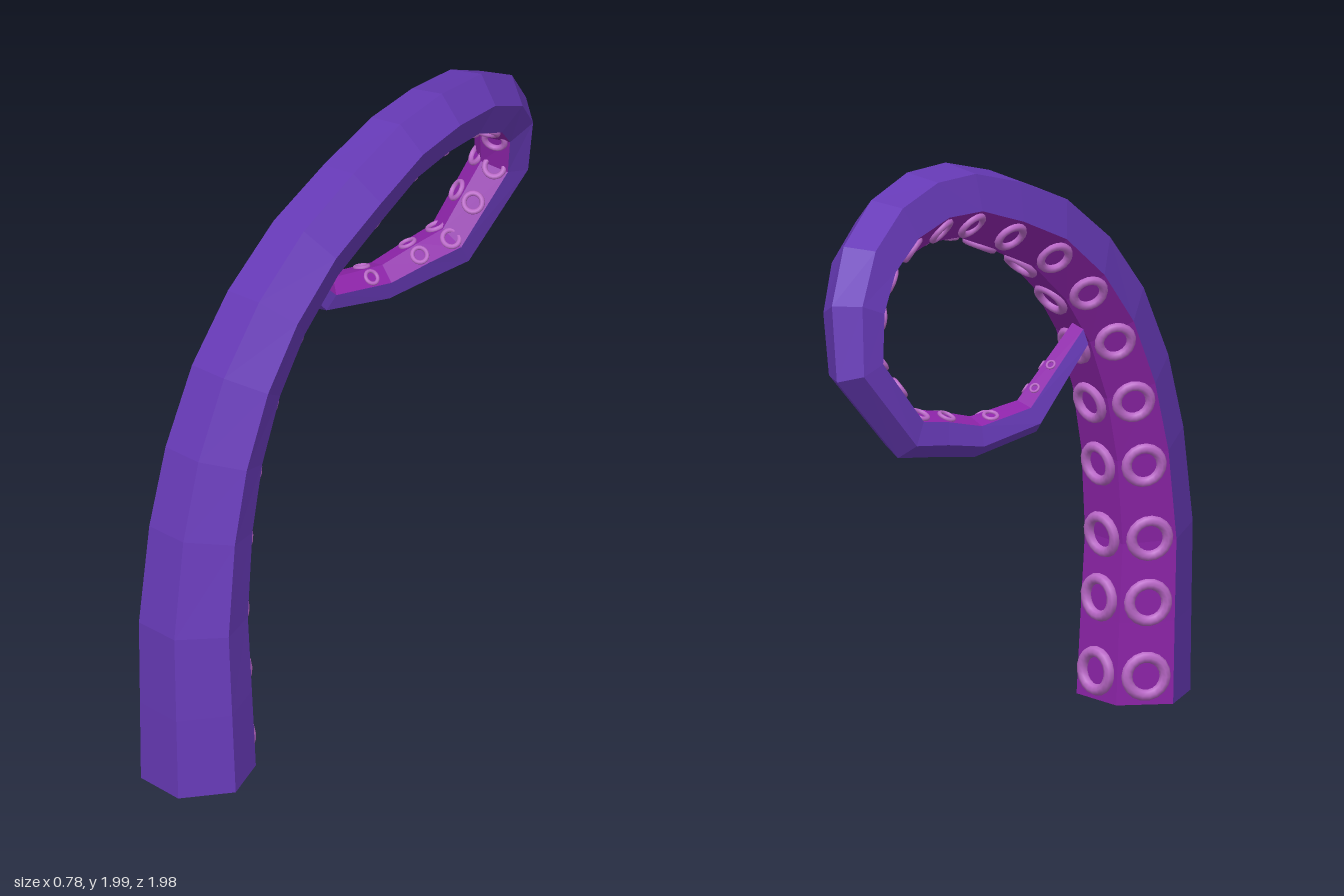
import * as THREE from 'three';

// Spine of the arm: x, y, z, radius
const SPINE = [
  [0.2, 0.02, 0.825, 0.19], [0.188, 0.3, 0.825, 0.185], [0.17, 0.58, 0.82, 0.18],
  [0.145, 0.89, 0.765, 0.172], [0.125, 1.13, 0.69, 0.165], [0.105, 1.36, 0.575, 0.158],
  [0.08, 1.545, 0.42, 0.15], [0.055, 1.7, 0.225, 0.142], [0.025, 1.8, 0, 0.135],
  [-0.01, 1.875, -0.22, 0.125], [-0.045, 1.888, -0.41, 0.12], [-0.1, 1.855, -0.61, 0.115],
  [-0.155, 1.765, -0.775, 0.11], [-0.215, 1.64, -0.88, 0.103], [-0.245, 1.46, -0.9, 0.095],
  [-0.265, 1.215, -0.695, 0.085], [-0.28, 1.195, -0.565, 0.075], [-0.3, 1.165, -0.42, 0.067],
  [-0.322, 1.2, -0.19, 0.063], [-0.345, 1.43, 0.02, 0.052],
];
const SIDES = 6;
// Sucker pair positions, counted in spine segments
const SUCKERS = [0.35, 1.25, 2.05, 2.9, 3.85, 4.85, 5.9, 6.9, 8, 9, 10, 11, 12, 13, 14, 14.5, 15.05, 16.1, 17.3, 18.2, 18.5];

// Hexagonal cross-sections, carried along the spine without twisting
function makeRings() {
  const points = SPINE.map(([x, y, z]) => new THREE.Vector3(x, y, z));
  const last = points.length - 1;
  const inner = new THREE.Vector3(-0.09, 0, -0.17);
  return points.map((p, i) => {
    const before = points[Math.max(i - 1, 0)], after = points[Math.min(i + 1, last)];
    const t = after.clone().sub(p).normalize().add(p.clone().sub(before).normalize()).normalize();
    if (i === last) t.set(-0.05, 0.2, 1).normalize();
    inner.addScaledVector(t, -inner.dot(t)).normalize();
    const side = new THREE.Vector3().crossVectors(t, inner);
    return Array.from({ length: SIDES }, (_, k) => {
      const a = (k * 2 * Math.PI) / SIDES, r = SPINE[i][3];
      return p.clone().addScaledVector(inner, r * Math.cos(a)).addScaledVector(side, r * Math.sin(a));
    });
  });
}

function facetMesh(name, corners, material) {
  const geometry = new THREE.BufferGeometry().setFromPoints(corners);
  geometry.computeVertexNormals();
  const mesh = new THREE.Mesh(geometry, material);
  mesh.name = name;
  return mesh;
}

export function createModel() {
  const group = new THREE.Group();
  group.name = 'tentacle';
  const skin = new THREE.MeshStandardMaterial({ color: 0x673ab7, flatShading: true });
  const belly = new THREE.MeshStandardMaterial({ color: 0x8e24aa, flatShading: true });
  const suckerMaterial = new THREE.MeshStandardMaterial({ color: 0xba68c8 });
  const rings = makeRings();

  // Outer skin on four sides, underside on the two inner sides
  const outer = [], under = [];
  for (let i = 0; i < rings.length - 1; i++) {
    for (let k = 0; k < SIDES; k++) {
      const n = (k + 1) % SIDES;
      const a = rings[i][k], b = rings[i][n], c = rings[i + 1][n], d = rings[i + 1][k];
      (k === 0 || k === SIDES - 1 ? under : outer).push(a, b, c, a, c, d);
    }
  }
  // End caps
  const base = rings[0], tip = rings[rings.length - 1];
  for (let k = 1; k < SIDES - 1; k++) {
    outer.push(base[0], base[k + 1], base[k], tip[0], tip[k], tip[k + 1]);
  }
  group.add(facetMesh('outerSkin', outer, skin), facetMesh('underside', under, belly));

  // Paired suckers, one on each underside face
  const suckers = new THREE.Group();
  suckers.name = 'suckers';
  const torus = new THREE.TorusGeometry(0.34, 0.1, 8, 18);
  const forward = new THREE.Vector3(0, 0, 1);
  for (const u of SUCKERS) {
    const i = Math.floor(u), f = u - i;
    const r = THREE.MathUtils.lerp(SPINE[i][3], SPINE[i + 1][3], f);
    for (const [k, n] of [[0, 1], [SIDES - 1, 0]]) {
      const low = rings[i][k].clone().add(rings[i][n]).multiplyScalar(0.5);
      const high = rings[i + 1][k].clone().add(rings[i + 1][n]).multiplyScalar(0.5);
      const across = rings[i][n].clone().sub(rings[i][k]);
      const normal = across.cross(high.clone().sub(low)).normalize();
      const sucker = new THREE.Mesh(torus, suckerMaterial);
      sucker.name = 'sucker';
      sucker.position.lerpVectors(low, high, f).addScaledVector(normal, 0.04 * r);
      sucker.quaternion.setFromUnitVectors(forward, normal);
      sucker.scale.setScalar(u > 18 ? r * 0.7 : r);
      suckers.add(sucker);
    }
  }
  group.add(suckers);
  return group;
}
